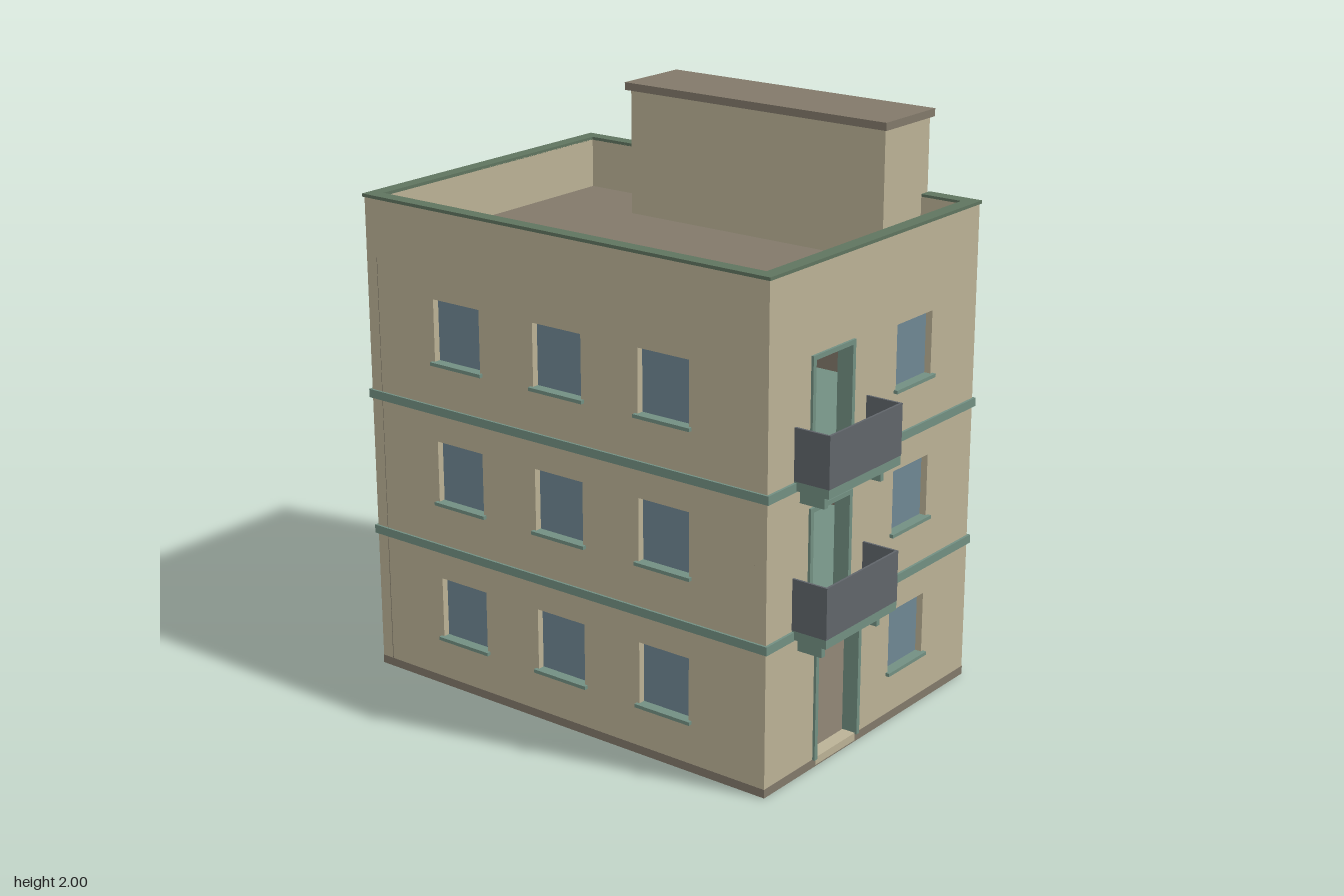
import * as THREE from 'three';

const material = (name, color, side = THREE.FrontSide) => {
  const m = new THREE.MeshStandardMaterial({ color, side });
  m.name = name;
  return m;
};

export function createModel() {
  const tan = material('tan plaster', 0xbbb296);
  const brown = material('brown concrete', 0x82796a);
  const glass = material('blue glass', 0x6f8793);
  const trim = material('sage trim', 0x728f82);
  const green = material('green coping', 0x5f745f);
  const grey = material('grey panel', 0x60656a);

  const root = new THREE.Group();
  root.name = 'apartmentBuilding';

  // Box given by its min and max corners
  const box = (parent, name, mat, x0, x1, y0, y1, z0, z1) => {
    const m = new THREE.Mesh(new THREE.BoxGeometry(x1 - x0, y1 - y0, z1 - z0), mat);
    m.position.set((x0 + x1) / 2, (y0 + y1) / 2, (z0 + z1) / 2);
    m.name = name;
    parent.add(m);
    return m;
  };

  const X = 0.59, ZF = 0.78, ZB = -0.895, T = 0.045, TOP = 1.706;
  const floors = [0, 0.5, 1];

  // Flat panel with rectangular openings [u0, u1, y0, y1]
  const panel = (u0, u1, y0, y1, holes, depth) => {
    const rect = (C, a, b, c, d) => {
      const p = new C();
      p.moveTo(a, c); p.lineTo(b, c); p.lineTo(b, d); p.lineTo(a, d); p.closePath();
      return p;
    };
    const shape = rect(THREE.Shape, u0, u1, y0, y1);
    shape.holes = holes.map(h => rect(THREE.Path, ...h));
    return new THREE.ExtrudeGeometry(shape, { depth, bevelEnabled: false });
  };

  // Wall with windows, sills and framed doorways; local +z points outwards
  const wall = (name, u0, u1, sign, windows, doors, place) => {
    const g = new THREE.Group();
    g.name = name;
    const flip = ([a, b, c, d]) => (sign > 0 ? [a, b, c, d] : [-b, -a, c, d]);
    const wins = windows.map(flip), drs = doors.map(flip);
    const [a, b] = flip([u0, u1, 0, 0]);
    const holes = [...wins, ...drs];

    const outer = new THREE.Mesh(panel(a, b, 0.01, TOP, holes, T), tan);
    outer.position.z = -T;
    outer.name = name + 'Plaster';
    const lining = new THREE.Mesh(panel(a, b, 0.012, 1.5, holes, 0.003), brown);
    lining.position.z = -T - 0.003;
    lining.name = name + 'Lining';
    g.add(outer, lining);

    for (const [l, r, y0, y1] of wins) {
      box(g, 'windowGlass', glass, l, r, y0, y1, -0.032, -0.024);
      box(g, 'windowSill', trim, l - 0.011, r + 0.011, y0 - 0.009, y0 + 0.003, -0.024, 0.014);
    }
    for (const [l, r, y0, y1] of drs) {
      const w = 0.008;
      for (const u of [l, r]) box(g, 'doorJamb', trim, u - w, u + w, y0, y1 + w, -T - 0.004, 0.009);
      box(g, 'doorHead', trim, l - w, r + w, y1 - w, y1 + w, -T - 0.004, 0.009);
    }
    place(g);
    root.add(g);
  };

  // Window and door layout
  const win = (u0, u1, f) => [u0, u1, f + 0.18, f + 0.4];
  const sideWindows = floors.flatMap(f => [[0.275, 0.478], [-0.16, 0.043], [-0.595, -0.392]].map(([a, b]) => win(a, b, f)));
  const rightColumn = floors.map(f => win(0.11, 0.318, f));
  const entrance = [-0.317, -0.075, 0.028, 0.423];
  const balconyDoors = [0.5, 1].map(f => [-0.361, -0.146, f + 0.028, f + 0.408]);
  const backColumn = [0.5, 1].map(f => win(-0.32, -0.112, f));

  wall('frontWall', -X, X, 1, rightColumn, [entrance, ...balconyDoors], g => { g.position.z = ZF; });
  wall('backWall', -X, X, -1, [...rightColumn, ...backColumn], [entrance], g => { g.position.z = ZB; g.rotation.y = Math.PI; });
  wall('leftWall', ZB + T, ZF - T, -1, sideWindows, [], g => { g.position.x = X; g.rotation.y = Math.PI / 2; });
  wall('rightWall', ZB + T, ZF - T, 1, sideWindows, [], g => { g.position.x = -X; g.rotation.y = -Math.PI / 2; });

  // Base, floor slabs showing as bands, and roof
  box(root, 'baseSlab', brown, -X - 0.001, X + 0.001, 0, 0.03, ZB - 0.001, ZF + 0.001);
  for (const f of [0.5, 1]) box(root, 'floorSlab', trim, -X - 0.008, X + 0.008, f - 0.003, f + 0.027, ZB - 0.009, ZF + 0.009);
  box(root, 'roofDeck', brown, -X + T, X - T, 1.5, 1.53, ZB + T, ZF - T);
  for (const z of [ZF - T / 2, ZB + T / 2])
    box(root, 'threshold', tan, -0.31, -0.083, 0.005, 0.032, z - T / 2 - 0.002, z + T / 2 + 0.002);

  // Parapet coping, broken where the stair house stands
  const S0 = -0.48, S1 = 0.58, CX = X + 0.005;
  const coping = (x0, x1, z0, z1) => box(root, 'coping', green, x0, x1, 1.704, 1.715, z0, z1);
  coping(-CX, CX, ZF - T, ZF + 0.005);
  coping(-CX, CX, ZB - 0.006, ZB + T);
  coping(-CX, -X + T, ZB + T, ZF - T);
  coping(X - T, CX, ZB + T, S0);
  coping(X - T, CX, S1, ZF - T);

  // Stair house on the roof, with a doorway to the back
  const stair = new THREE.Group();
  stair.name = 'stairHouse';
  root.add(stair);
  const L = 0.317, R = 0.583, W = 0.03;
  box(stair, 'stairInnerWall', tan, L, L + W, 1.52, 1.975, S0, S1);
  box(stair, 'stairOuterWall', tan, R - W, R, 1.52, 1.975, S0, S1);
  box(stair, 'stairFrontWall', tan, L + W, R - W, 1.52, 1.975, S1 - W, S1);
  box(stair, 'stairDoorLintel', tan, L + W, R - W, 1.92, 1.975, S0, S0 + W);
  for (const x of [L + W, R - W - 0.008]) box(stair, 'stairDoorJamb', trim, x, x + 0.008, 1.53, 1.92, S0 - 0.005, S0 + W);
  box(stair, 'stairDoorHead', trim, L + W, R - W, 1.912, 1.92, S0 - 0.005, S0 + W);
  box(stair, 'stairRoof', brown, 0.3, 0.592, 1.973, 2, -0.495, 0.594);

  // Balconies
  for (const f of [0.5, 1]) {
    const b = new THREE.Group();
    b.name = 'balcony';
    b.position.y = f;
    root.add(b);
    const x0 = -0.452, x1 = -0.052, z1 = 0.912, t = 0.008;
    box(b, 'balconyFloor', trim, x0 + 0.001, x1 - 0.001, 0.001, 0.032, ZF - 0.01, z1 - 0.001);
    box(b, 'balconyFrontPanel', grey, x0, x1, 0.032, 0.207, z1 - t, z1);
    for (const x of [x0, x1 - t]) box(b, 'balconySidePanel', grey, x, x + t, 0.032, 0.207, ZF, z1 - t);
    for (const x of [-0.41, -0.1]) box(b, 'balconyBracket', trim, x - 0.009, x + 0.009, -0.05, 0.001, ZF - 0.005, 0.873);
  }

  return root;
}
